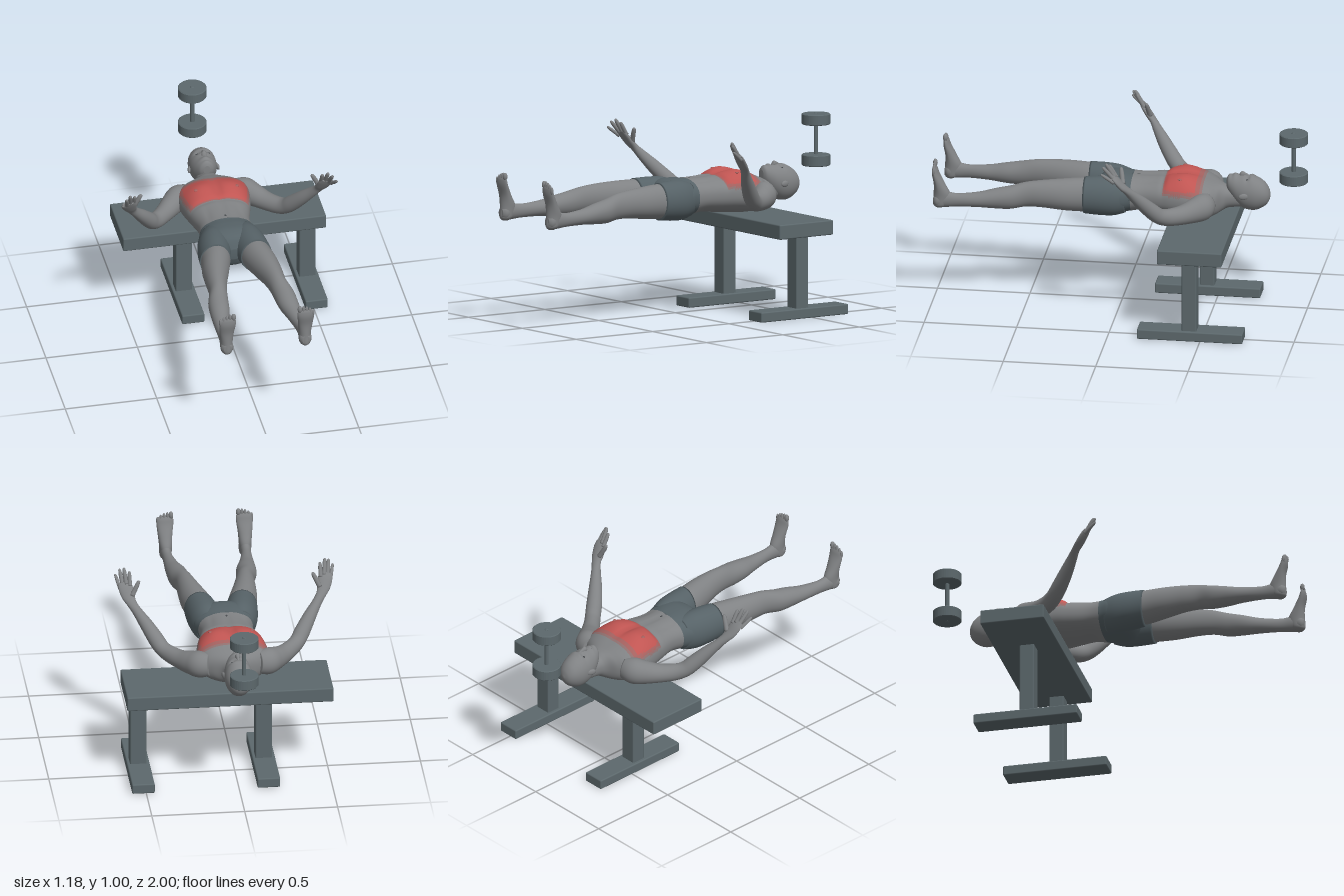
import * as THREE from 'three';
import { RoundedBoxGeometry } from 'three/addons/geometries/RoundedBoxGeometry.js';

const mat = (name, color) => Object.assign(new THREE.MeshStandardMaterial({ color }), { name });

// Catmull-Rom blend of the rows of numbers that describe cross-sections
function resample(rows, sub) {
  const out = [];
  const at = (i) => rows[Math.max(0, Math.min(rows.length - 1, i))];
  for (let i = 0; i < rows.length - 1; i++) {
    for (let k = 0; k < sub; k++) {
      const t = k / sub;
      out.push(at(i).map((b, n) => {
        const a = at(i - 1)[n], c = at(i + 1)[n], d = at(i + 2)[n];
        return 0.5 * (2 * b + (c - a) * t + (2 * a - 5 * b + 4 * c - d) * t * t + (3 * b - a - 3 * c + d) * t ** 3);
      }));
    }
  }
  out.push(rows[rows.length - 1]);
  return out;
}

// Skin over rows of [x, y, z, half width, extent up, extent down].
// axis fixes the section plane; without it sections follow the path.
// pick(x, y, z) returns a material index for each face.
function loft(rows, { axis = null, sub = 6, seg = 32, pow = 1, warp = null, pick = () => 0 } = {}) {
  const rings = resample(rows, sub), pos = [], groups = [];
  const c = rings.map((r) => new THREE.Vector3(r[0], r[1], r[2]));
  const p = new THREE.Vector3();
  const round = (v) => Math.sign(v) * Math.abs(v) ** pow;
  const put = () => { if (warp) warp(p); pos.push(p.x, p.y, p.z); };
  rings.forEach((r, i) => {
    const t = axis ? axis.clone() : c[Math.min(i + 1, c.length - 1)].clone().sub(c[Math.max(i - 1, 0)]).normalize();
    const u = new THREE.Vector3(1, 0, 0).addScaledVector(t, -t.x).normalize();
    const v = t.clone().cross(u);
    for (let j = 0; j < seg; j++) {
      const a = (j / seg) * Math.PI * 2, s = Math.sin(a);
      p.copy(c[i]).addScaledVector(u, round(Math.cos(a)) * r[3]).addScaledVector(v, round(s) * (s > 0 ? r[4] : r[5]));
      put();
    }
  });
  const first = rings.length * seg;
  p.copy(c[0]); put();
  p.copy(c[c.length - 1]); put();
  const tri = (...f) => {
    const m = [0, 1, 2].map((k) => f.reduce((sum, i) => sum + pos[i * 3 + k], 0) / 3);
    (groups[pick(...m)] ||= []).push(...f);
  };
  for (let j = 0; j < seg; j++) {
    const n = (j + 1) % seg, e = (rings.length - 1) * seg;
    for (let i = 0; i < rings.length - 1; i++) {
      const a = i * seg + j, b = i * seg + n;
      tri(a, b, a + seg);
      tri(b, b + seg, a + seg);
    }
    tri(first, n, j);
    tri(first + 1, e + j, e + n);
  }
  const g = new THREE.BufferGeometry();
  g.setAttribute('position', new THREE.Float32BufferAttribute(pos, 3));
  const index = [];
  groups.forEach((list, m) => { g.addGroup(index.length, list.length, m); index.push(...list); });
  g.setIndex(index);
  g.computeVertexNormals();
  return g;
}

export function createModel() {
  const model = new THREE.Group();
  const skin = mat('grey skin', 0x808284), cloth = mat('shorts cloth', 0x566267);
  const steel = mat('bench steel', 0x5c686c), dark = mat('dark detail', 0x45494c);
  const red = mat('active muscle', 0xc05552), mid = mat('muscle edge', 0xa4615f), pale = mat('muscle fade', 0x90706f);
  const Z = new THREE.Vector3(0, 0, 1), Y = new THREE.Vector3(0, 1, 0);
  const add = (name, geo, material, parent = model) => {
    const m = new THREE.Mesh(geo, material);
    m.name = name;
    parent.add(m);
    return m;
  };
  const part = (name) => { const g = new THREE.Group(); g.name = name; model.add(g); return g; };
  const box = (name, x0, x1, y0, y1, z0, z1, parent) =>
    add(name, new RoundedBoxGeometry(x1 - x0, y1 - y0, z1 - z0, 2, 0.007), steel, parent)
      .position.set((x0 + x1) / 2, (y0 + y1) / 2, (z0 + z1) / 2);
  const ball = (name, x, y, z, rx, ry, rz, material, parent) => {
    const m = add(name, new THREE.SphereGeometry(1, 16, 12), material, parent);
    m.position.set(x, y, z);
    m.scale.set(rx, ry, rz);
    return m;
  };

  // Bench
  const bench = part('bench');
  box('benchTop', -0.52, 0.59, 0.44, 0.52, -0.62, -0.27, bench);
  for (const x of [-0.16, 0.515]) {
    box('benchPost', x - 0.045, x + 0.045, 0.04, 0.45, -0.48, -0.4, bench);
    box('benchFoot', x - 0.061, x + 0.061, 0, 0.055, -0.73, -0.16, bench);
  }

  // Upright dumbbell
  const dumbbell = part('dumbbell');
  const disc = (name, r, y0, y1) => {
    const profile = [[0, y0], [r - 0.004, y0], [r, y0 + 0.004], [r, y1 - 0.004], [r - 0.004, y1], [0, y1]];
    const flat = new THREE.LatheGeometry(profile.map((q) => new THREE.Vector2(...q)), 40).toNonIndexed();
    flat.computeVertexNormals();
    add(name, flat, steel, dumbbell).position.set(-0.005, 0, -0.925);
  };
  disc('handle', 0.011, 0.715, 1.005);
  disc('lowerWeight', 0.077, 0.72, 0.78);
  disc('upperWeight', 0.077, 0.942, 1.0);

  // Torso: neck to crotch, with chest and stomach relief
  const bump = (x, z, cx, cz, rx, rz) => Math.exp(-(((x - cx) / rx) ** 2) - ((z - cz) / rz) ** 2);
  const relief = (v) => {
    if (v.y < 0.64) return;
    const ax = Math.abs(v.x), k = Math.min(1, (v.y - 0.64) / 0.04);
    v.y += k * (0.016 * bump(ax, v.z, 0.095, -0.33, 0.07, 0.07)
      - 0.014 * bump(v.x, v.z, 0, -0.33, 0.02, 0.09)
      - 0.008 * bump(ax, v.z, 0.09, -0.235, 0.08, 0.015)
      - 0.006 * bump(v.x, v.z, 0, -0.14, 0.012, 0.08)
      - 0.004 * bump(ax, v.z, 0.085, -0.13, 0.015, 0.08));
  };
  const muscle = (x, y, z) => {
    if (z > -0.06) return 1;
    const depth = Math.min(z + 0.45, -0.238 - z + 0.028, (y - 0.665) * 1.2, 0.215 - Math.abs(x));
    if (depth < 0 || z > -0.235) return 0;
    return depth < 0.015 ? 4 : depth < 0.035 ? 3 : 2;
  };
  const body = part('body');
  const torso = loft([
    [0, 0.62, -0.66, 0.05, 0.05, 0.05], [0, 0.622, -0.58, 0.055, 0.055, 0.06],
    [0, 0.62, -0.545, 0.072, 0.07, 0.075], [0, 0.615, -0.515, 0.125, 0.085, 0.085],
    [0, 0.615, -0.48, 0.175, 0.1, 0.095], [0, 0.62, -0.43, 0.198, 0.114, 0.103],
    [0, 0.625, -0.36, 0.193, 0.122, 0.108], [0, 0.63, -0.28, 0.178, 0.112, 0.105],
    [0, 0.63, -0.22, 0.162, 0.1, 0.1], [0, 0.63, -0.13, 0.142, 0.095, 0.092],
    [0, 0.628, -0.06, 0.147, 0.097, 0.1], [0, 0.625, 0, 0.166, 0.105, 0.105],
    [0, 0.62, 0.06, 0.165, 0.108, 0.103], [0, 0.62, 0.11, 0.11, 0.085, 0.085],
    [0, 0.62, 0.14, 0.03, 0.03, 0.03],
  ], { axis: Z, sub: 8, seg: 64, pow: 0.88, warp: relief, pick: muscle });
  add('torso', torso, [skin, cloth, red, mid, pale], body);
  const waist = add('waistband', new THREE.TorusGeometry(1, 0.02, 8, 48), cloth, body);
  waist.position.set(0, 0.626, -0.057);
  waist.scale.set(0.146, 0.098, 0.2);

  // Height of the torso's upper surface near a point
  const topY = (x, z) => {
    const p = torso.attributes.position;
    let best = 9, y = 0;
    for (let i = 0; i < p.count; i++) {
      const d = Math.hypot(p.getX(i) - x, p.getZ(i) - z);
      if (p.getY(i) > 0.64 && d < best) { best = d; y = p.getY(i); }
    }
    return y;
  };
  ball('navel', 0, topY(0, -0.09), -0.09, 0.006, 0.003, 0.009, dark, body);

  // Head with brow, eye sockets and mouth relief
  const head = part('head');
  const face = (v) => {
    if (v.y < 0.7) return;
    const ax = Math.abs(v.x);
    v.y += 0.005 * bump(ax, v.z, 0.025, -0.7, 0.03, 0.012) - 0.011 * bump(ax, v.z, 0.029, -0.678, 0.014, 0.011)
      + 0.009 * bump(v.x, v.z, 0, -0.61, 0.025, 0.012) + 0.005 * bump(v.x, v.z, 0, -0.58, 0.02, 0.01);
  };
  add('skull', loft([
    [0, 0.64, -0.8, 0.006, 0.006, 0.006], [0, 0.642, -0.79, 0.035, 0.038, 0.04],
    [0, 0.647, -0.765, 0.058, 0.067, 0.072], [0, 0.65, -0.72, 0.073, 0.092, 0.096],
    [0, 0.655, -0.67, 0.074, 0.095, 0.098], [0, 0.665, -0.63, 0.067, 0.083, 0.085],
    [0, 0.68, -0.6, 0.055, 0.067, 0.07], [0, 0.695, -0.575, 0.038, 0.047, 0.045],
    [0, 0.7, -0.565, 0.018, 0.025, 0.025],
  ], { axis: Z, sub: 8, seg: 48, warp: face }), skin, head);
  add('nose', loft([
    [0, 0.738, -0.692, 0.006, 0.008, 0.01], [0, 0.748, -0.668, 0.008, 0.011, 0.015],
    [0, 0.752, -0.645, 0.014, 0.017, 0.02], [0, 0.742, -0.632, 0.008, 0.008, 0.01],
  ], { axis: Z, seg: 16 }), skin, head);
  ball('mouth', 0, 0.7495, -0.612, 0.018, 0.003, 0.002, dark, head);

  for (const s of [1, -1]) {
    const side = s > 0 ? 'left' : 'right';
    const flip = (rows) => rows.map(([x, ...rest]) => [x * s, ...rest]);
    ball('eye', s * 0.029, 0.731, -0.678, 0.011, 0.004, 0.004, dark, head);
    ball('ear', s * 0.076, 0.65, -0.665, 0.009, 0.017, 0.027, skin, head).rotation.y = s * 0.25;
    ball('nipple', s * 0.112, topY(s * 0.112, -0.325), -0.325, 0.011, 0.004, 0.011, mid, body);

    // Arm from shoulder to palm
    const arm = part(side + 'Arm');
    add('armAndPalm', loft(flip([
      [0.13, 0.625, -0.475, 0.05, 0.06, 0.06], [0.18, 0.62, -0.455, 0.066, 0.072, 0.072],
      [0.222, 0.612, -0.415, 0.06, 0.065, 0.065], [0.275, 0.605, -0.355, 0.05, 0.052, 0.052],
      [0.33, 0.61, -0.29, 0.043, 0.048, 0.046], [0.366, 0.63, -0.25, 0.042, 0.043, 0.043],
      [0.395, 0.667, -0.215, 0.042, 0.042, 0.042], [0.44, 0.73, -0.165, 0.035, 0.036, 0.036],
      [0.485, 0.79, -0.12, 0.026, 0.026, 0.026], [0.51, 0.825, -0.095, 0.027, 0.019, 0.019],
      [0.525, 0.855, -0.07, 0.036, 0.018, 0.018], [0.537, 0.892, -0.043, 0.039, 0.015, 0.015],
      [0.545, 0.917, -0.024, 0.032, 0.009, 0.009],
    ])), skin, arm);
    // Each finger runs from its knuckle to its tip
    const fingers = [
      ['thumb', [0.505, 0.86, -0.075], [0.465, 0.94, -0.06], 0.013],
      ['indexFinger', [0.513, 0.9, -0.042], [0.513, 0.97, -0.003], 0.011],
      ['middleFinger', [0.532, 0.908, -0.034], [0.541, 0.985, 0.012], 0.0115],
      ['ringFinger', [0.551, 0.902, -0.032], [0.563, 0.973, 0.026], 0.011],
      ['littleFinger', [0.567, 0.888, -0.034], [0.586, 0.94, 0.032], 0.0095],
    ];
    for (const [name, a, b, r] of fingers) {
      const steps = [[0, 1.1], [0.3, 1], [0.55, 0.98], [0.8, 0.85], [0.95, 0.6], [1, 0.15]];
      add(name, loft(flip(steps.map(([t, k]) =>
        [...a.map((v, i) => v + (b[i] - v) * t), r * k, r * k, r * k])), { sub: 3, seg: 12 }), skin, arm);
    }

    // Leg, with the short trouser leg over the thigh
    const leg = part(side + 'Leg');
    add('shortsLeg', loft(flip([
      [0.085, 0.622, -0.03, 0.07, 0.09, 0.09], [0.092, 0.622, 0.03, 0.086, 0.107, 0.105],
      [0.1, 0.624, 0.1, 0.091, 0.109, 0.106], [0.113, 0.628, 0.19, 0.084, 0.102, 0.1],
    ]), { axis: Z }), cloth, leg);
    add('legAndHeel', loft(flip([
      [0.106, 0.626, 0.12, 0.08, 0.096, 0.092], [0.114, 0.628, 0.2, 0.08, 0.097, 0.09],
      [0.135, 0.632, 0.3, 0.073, 0.09, 0.084], [0.153, 0.638, 0.41, 0.058, 0.077, 0.075],
      [0.164, 0.636, 0.5, 0.049, 0.068, 0.07], [0.18, 0.624, 0.58, 0.055, 0.06, 0.069],
      [0.188, 0.615, 0.66, 0.053, 0.052, 0.058], [0.2, 0.605, 0.75, 0.041, 0.042, 0.042],
      [0.211, 0.602, 0.86, 0.028, 0.035, 0.039], [0.214, 0.602, 0.925, 0.03, 0.045, 0.044],
      [0.214, 0.597, 0.97, 0.034, 0.042, 0.04], [0.214, 0.597, 0.99, 0.02, 0.025, 0.025],
    ]), { axis: Z }), skin, leg);
    // Foot pointing up, sole to the front
    add('foot', loft(flip([
      [0.214, 0.556, 0.96, 0.014, 0.018, 0.018], [0.214, 0.575, 0.955, 0.031, 0.04, 0.038],
      [0.214, 0.63, 0.95, 0.034, 0.05, 0.04], [0.215, 0.69, 0.965, 0.039, 0.036, 0.024],
      [0.214, 0.745, 0.98, 0.045, 0.022, 0.018], [0.213, 0.775, 0.984, 0.044, 0.014, 0.013],
      [0.212, 0.79, 0.985, 0.035, 0.007, 0.007],
    ]), { axis: Y }), skin, leg);
    for (let i = 0; i < 5; i++) {
      const r = i ? 0.0085 : 0.0125;
      ball('toe', s * (0.181 + i * 0.0175 + (i ? 0.002 : 0)), 0.797 - i * i * 0.0017, 0.985, r, 0.021, r, skin, leg);
    }
  }
  return model;
}
